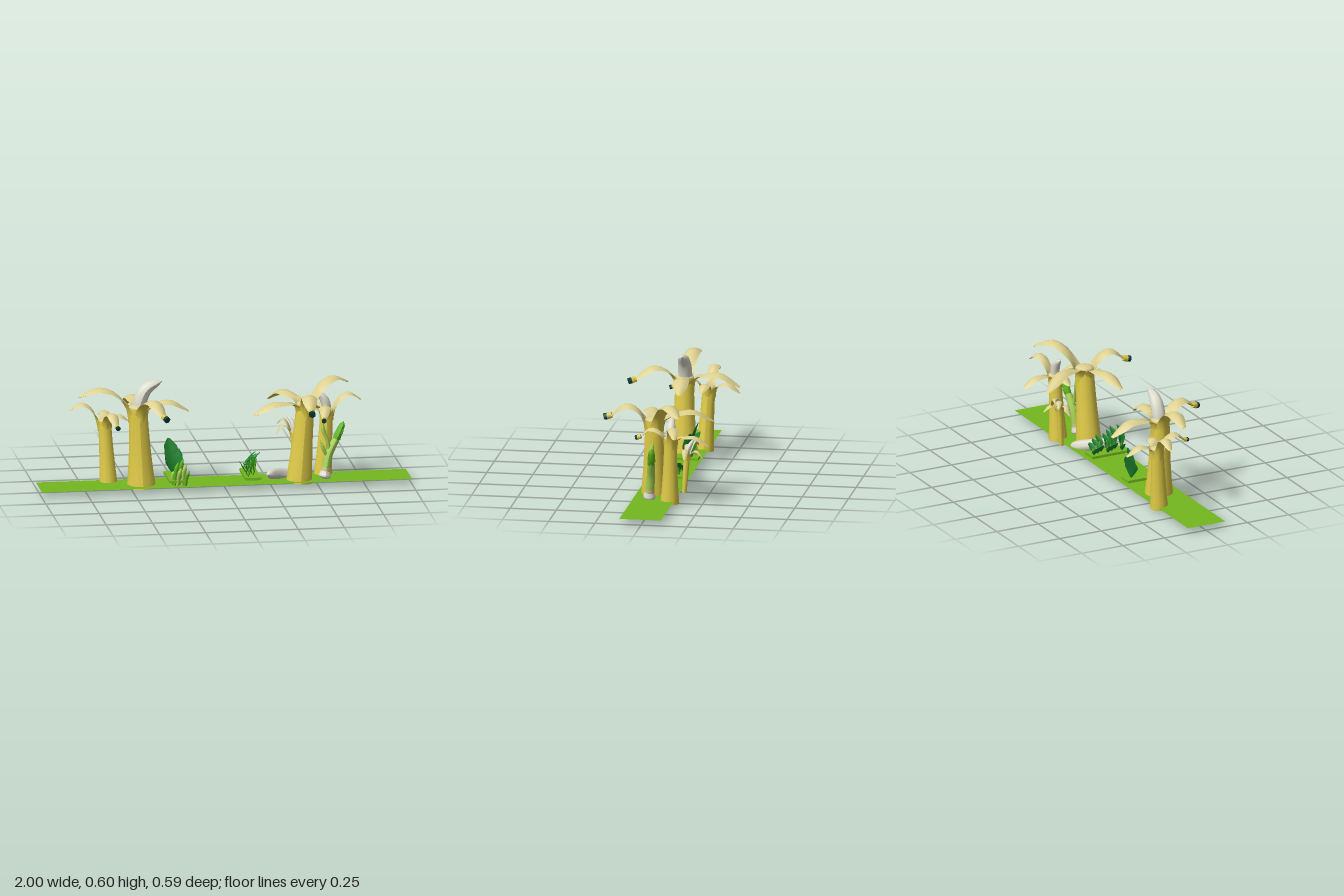
import * as THREE from 'three';

const mat = (name, color, side = THREE.FrontSide) => {
  const m = new THREE.MeshStandardMaterial({ color, side });
  m.name = name;
  return m;
};
const V = (p) => new THREE.Vector3(...p);

export function createModel() {
  const both = THREE.DoubleSide;
  const grass = mat('grass green', 0x74b81e, both);
  const yellow = mat('peel yellow', 0xe2cd48, both);
  const cream = mat('peel cream', 0xdccf8e);
  const pale = mat('fruit white', 0xdedecf, both);
  const dark = mat('stem dark teal', 0x123c3a);
  const leafGreen = mat('leaf green', 0x1f8230, both);
  const spearGreen = mat('spear green', 0xa8d454, both);
  const tipGreen = mat('tip green', 0x60b81c, both);
  const tan = mat('stalk tan', 0xcdbf84);

  const model = new THREE.Group();
  const add = (parent, name, geo, material) => {
    const m = new THREE.Mesh(geo, material);
    m.name = name;
    parent.add(m);
    return m;
  };
  // Linear interpolation through evenly spaced values
  const sample = (a, u) => {
    const f = u * (a.length - 1), i = Math.min(Math.floor(f), a.length - 2);
    return a[i] + (a[i + 1] - a[i]) * (f - i);
  };

  // Round stalk along a curve with changing radius
  function stalk(pts, radii, seg = 10, sides = 10) {
    const curve = new THREE.CatmullRomCurve3(pts.map(V));
    const geo = new THREE.TubeGeometry(curve, seg, 1, sides);
    const pos = geo.attributes.position, v = new THREE.Vector3();
    for (let i = 0; i <= seg; i++) {
      const c = curve.getPointAt(i / seg), r = sample(radii, i / seg);
      for (let j = 0; j <= sides; j++) {
        const k = i * (sides + 1) + j;
        v.fromBufferAttribute(pos, k).sub(c).multiplyScalar(r).add(c);
        pos.setXYZ(k, v.x, v.y, v.z);
      }
    }
    geo.computeVertexNormals();
    return geo;
  }

  // Curved strip along a path: arch bends its cross-section, drop lowers its middle
  function strip(curve, dir, widths, arches, drop, flip) {
    const seg = 10, cols = 6, pos = [], idx = [];
    const side = new THREE.Vector3(0, 1, 0).cross(dir);
    for (let i = 0; i <= seg; i++) {
      const u = i / seg, p = curve.getPointAt(u), w = sample(widths, u);
      const n = curve.getTangentAt(u).cross(side).normalize();
      for (let j = 0; j <= cols; j++) {
        const s = (j / cols) * 2 - 1;
        const h = -(sample(arches, u) * w * s * s) - drop * (1 - s * s);
        const q = p.clone().addScaledVector(side, s * w).addScaledVector(n, h);
        pos.push(q.x, q.y, q.z);
        if (i < seg && j < cols) {
          const a = i * (cols + 1) + j, b = a + cols + 1;
          if (flip) idx.push(a, a + 1, b, b, a + 1, b + 1);
          else idx.push(a, b, a + 1, b, b + 1, a + 1);
        }
      }
    }
    const g = new THREE.BufferGeometry();
    g.setAttribute('position', new THREE.Float32BufferAttribute(pos, 3));
    g.setIndex(idx);
    g.computeVertexNormals();
    return g;
  }

  // One folded-back peel, cream inside and yellow outside, optionally with a stem
  function peel(parent, top, r, peakY, tip, width, stem) {
    const t = V(top), end = V(tip);
    const dir = new THREE.Vector3(end.x - t.x, 0, end.z - t.z);
    const len = dir.length();
    dir.normalize();
    const at = (d, y) => new THREE.Vector3(t.x, y, t.z).addScaledVector(dir, d);
    const curve = new THREE.CatmullRomCurve3([
      at(r * 0.85, t.y - r * 1.6), at(r * 1.1, t.y),
      at(len * 0.38, t.y + (peakY - t.y) * 0.75), at(len * 0.65, peakY), end,
    ]);
    const widths = [0.8, 0.85, 0.8, 0.95, 1, 0.85, 0.3].map((w) => w * width);
    const arches = [-0.6, -0.3, 0.25, 0.45, 0.45, 0.4];
    add(parent, 'peelInside', strip(curve, dir, widths, arches, 0, false), cream);
    add(parent, 'peelOutside', strip(curve, dir, widths, arches, width * 0.22, true), yellow);
    if (stem) {
      const g = new THREE.Group(), s = width / 0.043;
      g.name = 'stem';
      add(g, 'stemBody', new THREE.CylinderGeometry(0.018 * s, 0.016 * s, 0.026 * s, 6), yellow).position.y = 0.001 * s;
      add(g, 'stemEnd', new THREE.CylinderGeometry(0.018 * s, 0.018 * s, 0.018 * s, 6), dark).position.y = 0.023 * s;
      g.position.copy(end);
      g.quaternion.setFromUnitVectors(new THREE.Vector3(0, 1, 0), dir.clone().setY(-0.25).normalize());
      parent.add(g);
    }
  }

  // Hollow trunk with a closed crown of peels: [peak height, tip, has stem]
  function tree(name, base, top, radii, width, peels) {
    const g = new THREE.Group();
    g.name = name;
    const mid = base.map((b, i) => b + (top[i] - b) * 0.55);
    add(g, 'trunk', stalk([base, mid, top], radii, 10, 12), yellow);
    const r = radii[radii.length - 1];
    const heart = add(g, 'crownHeart', new THREE.SphereGeometry(r * 1.05, 12, 4, 0, Math.PI * 2, 0, Math.PI / 2), cream);
    heart.position.set(...top);
    heart.scale.y = 0.4;
    peels.forEach(([peakY, tip, stem]) => peel(g, top, r, peakY, tip, width, stem));
    model.add(g);
    return g;
  }
  const fruit = (parent, pts, r) =>
    add(parent, 'fruit', stalk(pts, [0.8, 0.95, 1, 1, 0.95, 0.8, 0.55, 0].map((k) => k * r), 14, 8), pale);

  // Ground strip
  const ground = add(model, 'ground', new THREE.PlaneGeometry(2, 0.225), grass);
  ground.rotation.x = -Math.PI / 2;
  ground.position.set(0, 0.041, 0.005);

  // Left pair of trees
  const bigA = tree('tallTreeA', [-0.447, 0.026, 0.005], [-0.465, 0.46, 0.005], [0.078, 0.066, 0.058, 0.053, 0.05], 0.043, [
    [0.575, [-0.785, 0.53, -0.02]],
    [0.495, [-0.19, 0.435, -0.01]],
    [0.535, [-0.36, 0.465, 0.262], true],
    [0.49, [-0.475, 0.42, -0.295]],
  ]);
  fruit(bigA, [[-0.465, 0.4, 0], [-0.455, 0.49, 0], [-0.42, 0.56, 0], [-0.33, 0.605, 0]], 0.038);
  tree('shortTreeA', [-0.612, 0.026, -0.08], [-0.63, 0.37, -0.1], [0.049, 0.043, 0.039, 0.036, 0.035], 0.031, [
    [0.47, [-0.82, 0.43, -0.12]],
    [0.405, [-0.5, 0.37, -0.08]],
    [0.435, [-0.59, 0.378, 0.085], true],
    [0.4, [-0.61, 0.35, -0.275]],
  ]);

  // Right pair of trees
  tree('tallTreeB', [0.402, 0.026, 0.027], [0.438, 0.45, 0.02], [0.07, 0.063, 0.056, 0.052, 0.049], 0.043, [
    [0.575, [0.69, 0.53, -0.15]],
    [0.475, [0.145, 0.42, 0.09]],
    [0.535, [0.435, 0.465, 0.262], true],
    [0.49, [0.285, 0.42, -0.28]],
  ]);
  const shortB = tree('shortTreeB', [0.548, 0.026, -0.082], [0.57, 0.385, -0.09], [0.051, 0.044, 0.039, 0.036, 0.035], 0.031, [
    [0.475, [0.76, 0.43, -0.14]],
    [0.405, [0.42, 0.375, -0.08]],
    [0.435, [0.53, 0.378, 0.085], true],
    [0.4, [0.55, 0.35, -0.29]],
  ]);
  fruit(shortB, [[0.57, 0.34, -0.09], [0.565, 0.42, -0.09], [0.545, 0.46, -0.09], [0.5, 0.492, -0.09]], 0.025);

  // Small tree at the back
  const tiny = tree('smallTree', [0.405, 0.048, -0.137], [0.4, 0.255, -0.15], [0.012, 0.014, 0.016, 0.018], 0.017, [
    [0.3, [0.3, 0.25, -0.14]],
    [0.285, [0.42, 0.25, -0.238]],
    [0.33, [0.315, 0.295, -0.2]],
    [0.3, [0.49, 0.25, -0.15]],
  ]);
  fruit(tiny, [[0.4, 0.23, -0.15], [0.4, 0.28, -0.155], [0.39, 0.315, -0.17], [0.365, 0.338, -0.185]], 0.014);

  // Fallen fruit, rounded at both ends
  add(model, 'fallenFruit', stalk(
    [[0.425, 0.025, -0.075], [0.34, 0.05, -0.05], [0.27, 0.073, 0.02], [0.22, 0.092, 0.12]],
    [0, 0.024, 0.031, 0.033, 0.033, 0.032, 0.03, 0.026, 0.019, 0], 18, 8), pale);

  // Bent spear stalk, coloured in bands
  const spear = new THREE.Group();
  spear.name = 'spearStalk';
  add(spear, 'stalkBase', stalk([[0.535, 0.036, 0.032], [0.54, 0.055, 0.03], [0.545, 0.08, 0.027]], [0, 0.032, 0.033, 0.029, 0.026], 8), pale);
  add(spear, 'stalkBand', stalk([[0.545, 0.08, 0.027], [0.549, 0.1, 0.025]], [0.026, 0.024], 2), tan);
  add(spear, 'stalkBody', stalk([[0.549, 0.1, 0.025], [0.565, 0.17, 0.018], [0.605, 0.25, 0.01]], [0.024, 0.022, 0.02], 8), spearGreen);
  add(spear, 'stalkTip', stalk([[0.603, 0.245, 0.01], [0.625, 0.29, 0.005], [0.648, 0.345, 0.002]], [0.018, 0.021, 0.021, 0.019, 0.016, 0], 10, 7), tipGreen);
  add(spear, 'sideShoot', stalk([[0.57, 0.18, 0.018], [0.555, 0.25, 0.024], [0.535, 0.3, 0.02], [0.53, 0.36, 0.012]], [0.012, 0.011, 0.011, 0.013, 0], 10, 6), spearGreen);
  add(spear, 'sideShoot', stalk([[0.56, 0.15, 0.02], [0.535, 0.2, 0.028], [0.515, 0.255, 0.024]], [0.011, 0.01, 0.011, 0], 8, 6), spearGreen);
  for (let i = 0; i < 5; i++) { // scales around the tip
    const a = i * 2.4, s = add(spear, 'scale', new THREE.ConeGeometry(0.008, 0.035, 5), tipGreen);
    s.position.set(0.612 + i * 0.006 + Math.cos(a) * 0.016, 0.26 + i * 0.012, 0.006 + Math.sin(a) * 0.016);
    s.rotation.z = -0.4;
  }
  model.add(spear);

  // Planting pads
  for (const x of [-0.267, 0.143])
    add(model, 'pad', new THREE.BoxGeometry(0.086, 0.014, 0.225), grass).position.set(x, 0.072, 0.005);

  // Leaf made from one strip
  const leaf = (name, pts, dir, w) =>
    add(model, name, strip(new THREE.CatmullRomCurve3(pts.map(V)), V(dir), [0.15, 0.6, 1, 0.9, 0.75, 0.15].map((k) => k * w), [-0.3, -0.3], 0, false), leafGreen);

  // Broad leaf plant
  leaf('broadLeaf', [[-0.26, 0.08, -0.07], [-0.265, 0.16, -0.075], [-0.285, 0.26, -0.1]], [0, 0, -1], 0.045);
  leaf('broadLeaf', [[-0.25, 0.08, -0.07], [-0.24, 0.14, -0.055], [-0.235, 0.21, -0.065]], [0.6, 0, -0.8], 0.038);
  leaf('broadLeaf', [[-0.27, 0.08, -0.07], [-0.285, 0.14, -0.08], [-0.29, 0.21, -0.11]], [-0.6, 0, -0.8], 0.038);

  // Light shoots on the left pad
  for (let i = 0; i < 6; i++) {
    const x = -0.295 + i * 0.014, z = 0.08 + (i % 3) * 0.016, h = 0.135 + ((i * 3) % 5) * 0.016;
    add(model, 'shoot', stalk([[x, 0.05, z], [x + 0.006, (h + 0.06) / 2, z + 0.006], [x + 0.018, h, z + 0.016]], [0.009, 0.009, 0.011, 0.012, 0], 8, 6), i % 2 ? tipGreen : spearGreen);
  }

  // Row of dark leafy shoots on the right pad
  for (let i = 0; i < 7; i++) {
    const z = -0.09 + i * 0.028, x = 0.115 + (i % 3) * 0.015, h = 0.14 + i * 0.012;
    add(model, 'shootStem', stalk([[x, 0.075, z], [x + 0.01, 0.1, z], [x + 0.02, h - 0.03, z]], [0.006, 0.005], 4, 5), tipGreen);
    leaf('shootLeaf', [[x + 0.008, 0.09, z], [x + 0.018, h - 0.03, z], [x + 0.045, h, z - 0.008]], [1, 0, 0], 0.019);
    leaf('shootLeaf', [[x, 0.08, z], [x - 0.008, 0.1, z], [x - 0.018, 0.12, z + 0.006]], [-1, 0, 0], 0.015);
  }
  return model;
}
